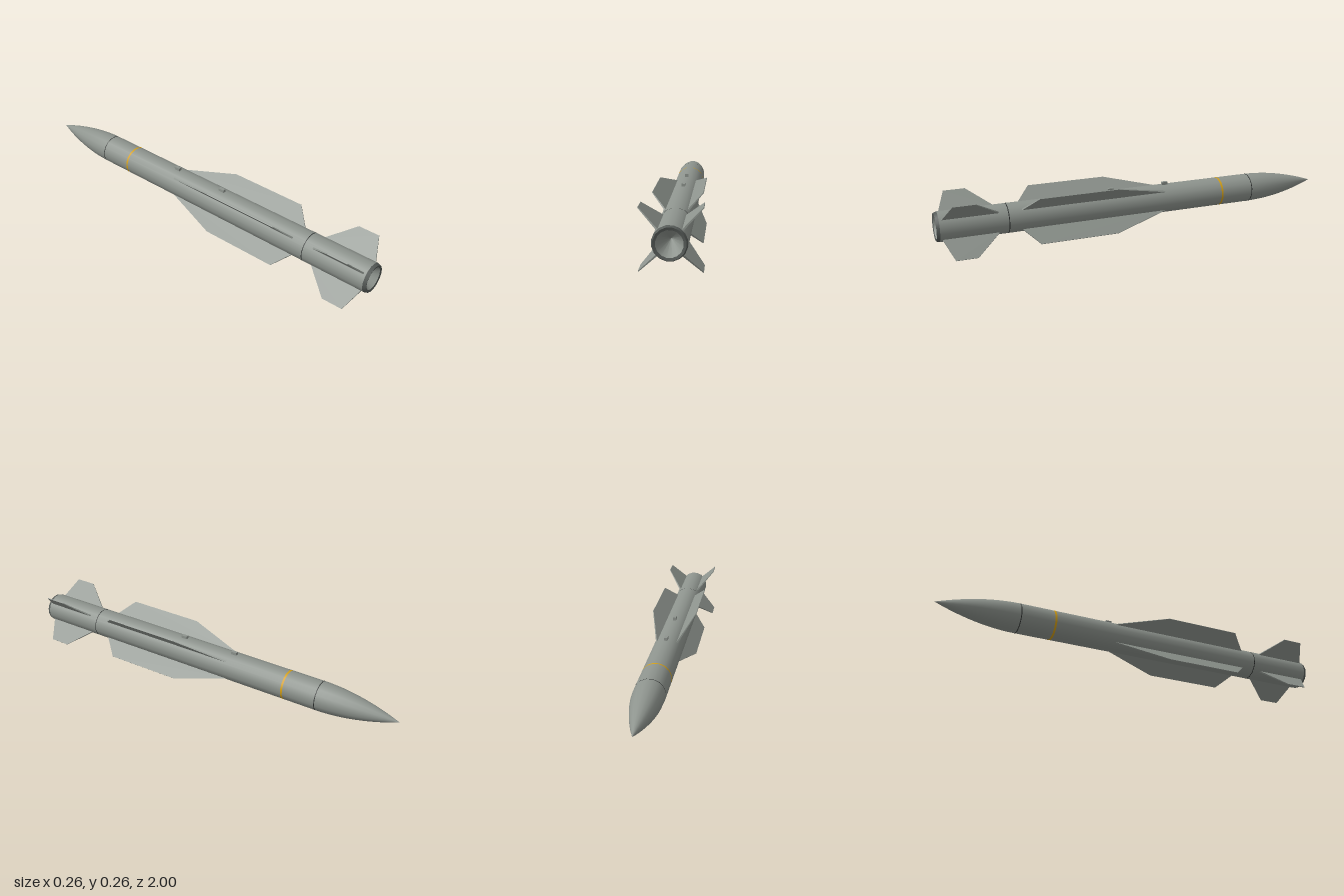
import * as THREE from 'three';

const SIDES = 16, AXIS_Y = 0.131, R = 0.072;

const material = (name, color, side = THREE.FrontSide) => {
  const m = new THREE.MeshStandardMaterial({ color, side });
  m.name = name;
  return m;
};

// Turned part around the z axis; profile is a list of [radius, z], rising z faces outward
function turned(name, profile, mat) {
  const geo = new THREE.LatheGeometry(
    profile.map(([r, z]) => new THREE.Vector2(r, z)), SIDES, Math.PI / SIDES);
  geo.rotateX(Math.PI / 2);
  const mesh = new THREE.Mesh(geo, mat);
  mesh.name = name;
  return mesh;
}

// Flat fin thinning towards its tip; outline is a list of [radius, z]
function finGeometry(outline, rootHalf, tipHalf) {
  const shape = new THREE.Shape(outline.map(([r, z]) => new THREE.Vector2(r, z)));
  let geo = new THREE.ExtrudeGeometry(shape, { depth: 2, bevelEnabled: false });
  geo.translate(0, 0, -1);
  geo.rotateX(Math.PI / 2); // outline y becomes z, thickness becomes y
  const p = geo.attributes.position;
  const tip = Math.max(...outline.map(o => o[0]));
  const root = Math.min(...outline.map(o => o[0]));
  for (let i = 0; i < p.count; i++) {
    const t = (p.getX(i) - root) / (tip - root);
    p.setY(i, p.getY(i) * THREE.MathUtils.lerp(rootHalf, tipHalf, t));
  }
  geo.computeVertexNormals();
  return geo;
}

export function createModel() {
  const grey = material('body grey', 0x8e948e);
  const dark = material('dark grey', 0x565b58);
  const seamMat = material('seam black', 0x2c2f2e);
  const yellow = material('band yellow', 0xd4a017);

  const model = new THREE.Group();
  model.name = 'model';
  const hull = new THREE.Group();
  hull.name = 'hull';
  hull.position.y = AXIS_Y;
  model.add(hull);

  // Rounded, pointed nose
  const nose = [];
  for (let i = 0; i <= 12; i++) {
    const t = 1 - i / 12;
    nose.push([R * (1 - t ** 1.9), -0.61 - 0.39 * t]);
  }
  hull.add(turned('nose', nose, grey));

  // Tube, tail rim and hollow nozzle
  hull.add(turned('bodyTube', [[R, -0.61], [R, 0.985]], grey));
  hull.add(turned('tailBevel', [[R, 0.985], [0.066, 1]], dark));
  hull.add(turned('tailRim', [[0.066, 1], [0.055, 0.997]], dark));
  hull.add(turned('nozzle', [[0.055, 0.997], [0, 0.9]], grey));

  // Joint lines and painted band
  const ring = (name, z, half, mat) =>
    hull.add(turned(name, [[R + 0.0004, z - half], [R + 0.0004, z + half]], mat));
  ring('noseSeam', -0.61, 0.002, seamMat);
  ring('tailSeam', 0.667, 0.002, seamMat);
  ring('colourBand', -0.44, 0.005, yellow);

  // Four long wings and four tail fins on the diagonals
  const wing = finGeometry(
    [[0.06, -0.16], [0.158, 0.145], [0.158, 0.53], [0.06, 0.61]], 0.004, 0.0018);
  const tail = finGeometry(
    [[0.06, 0.7], [0.181, 0.83], [0.181, 0.932], [0.06, 0.977]], 0.004, 0.0018);
  for (let i = 0; i < 4; i++) {
    for (const [name, geo] of [['wing', wing], ['tailFin', tail]]) {
      const fin = new THREE.Mesh(geo, grey);
      fin.name = name + (i + 1);
      fin.rotation.z = Math.PI / 4 + i * Math.PI / 2;
      hull.add(fin);
    }
  }

  // Hanging lugs on the top
  for (const [name, z] of [['foreLug', -0.143], ['aftLug', 0.145]]) {
    const lug = new THREE.Mesh(new THREE.BoxGeometry(0.016, 0.025, 0.03), grey);
    lug.name = name;
    lug.position.set(0, 0.0725, z);
    hull.add(lug);
  }
  return model;
}
